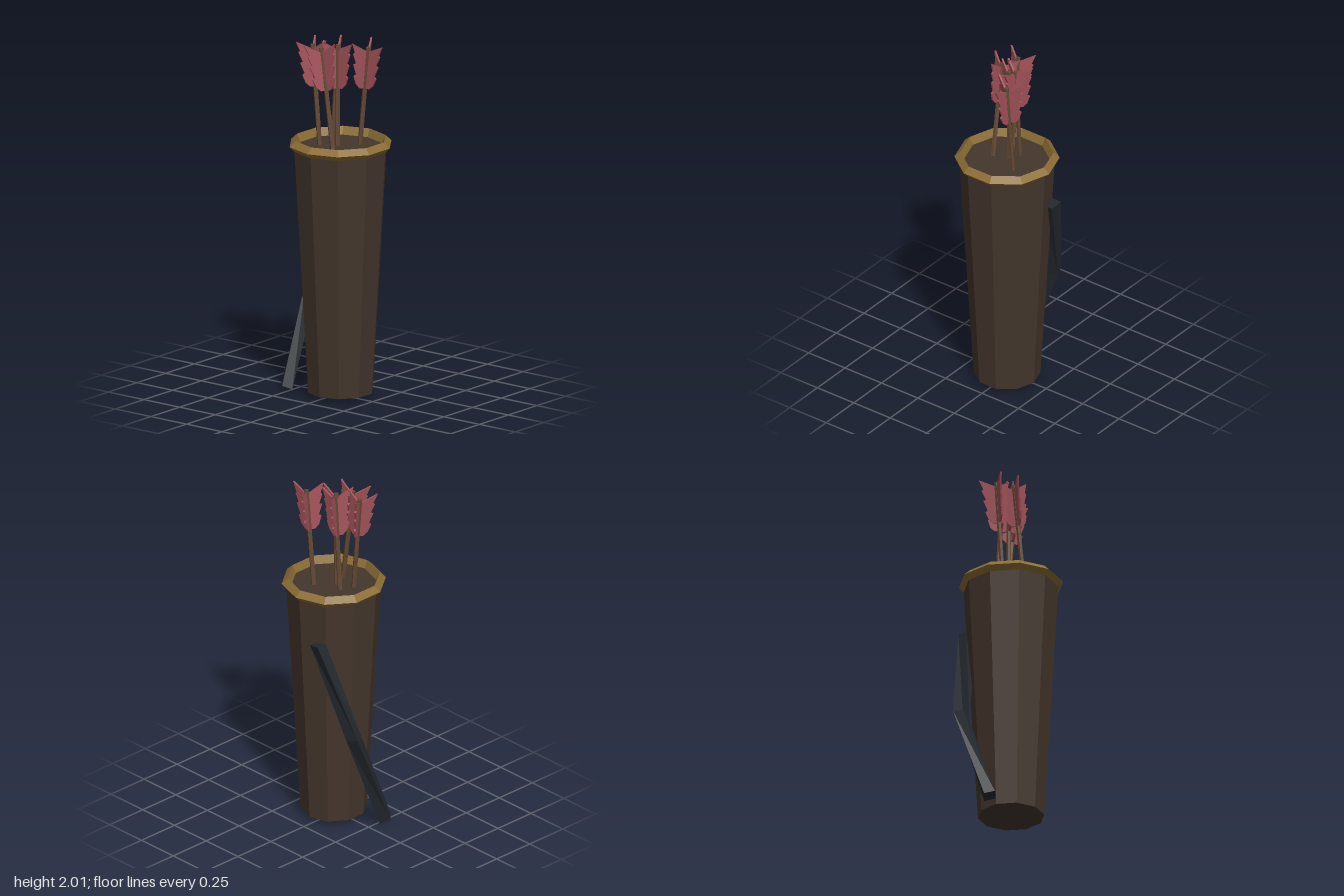
import * as THREE from 'three';

const mat = (color) => new THREE.MeshStandardMaterial({ color, flatShading: true });
const leather = mat(0x44362c);
const brass = mat(0x8c6d34);
const wood = mat(0x664a36);
const feather = mat(0xa3525a);
const strapMat = mat(0x24292e);

const SIDES = 10;
const TURN = Math.PI / SIDES; // puts a corner on the x axis

function addMesh(parent, name, geometry, material) {
  const mesh = new THREE.Mesh(geometry, material);
  mesh.name = name;
  parent.add(mesh);
  return mesh;
}

// Serrated feather: [distance from shaft, height above the feather's base]
const FEATHER = [
  [0, 0], [0.032, 0], [0.056, 0.025], [0.072, 0.07], [0.058, 0.078],
  [0.08, 0.138], [0.064, 0.142], [0.086, 0.198], [0.076, 0.204],
  [0.097, 0.262], [0.012, 0.215], [0, 0.215],
];

function featherGeometry() {
  const shape = new THREE.Shape(FEATHER.map(([r, h]) => new THREE.Vector2(r, h)));
  const geo = new THREE.ExtrudeGeometry(shape, { depth: 0.01, bevelEnabled: false });
  geo.translate(0, 0, -0.005);
  return geo.rotateY(-Math.PI / 2); // blade points along +z
}

// Arrow tilted in z, from its base in the quiver to its nock
function makeArrow(x, zBase, zTop, bladeGeo) {
  const arrow = new THREE.Group();
  arrow.name = 'arrow';
  const yBase = 1.4, yTop = 1.97;
  const length = Math.hypot(yTop - yBase, zTop - zBase);
  const shaftGeo = new THREE.CylinderGeometry(0.013, 0.013, length, 6, 1, false, Math.PI / 6);
  addMesh(arrow, 'arrowShaft', shaftGeo, wood).position.y = length / 2;
  for (let i = 0; i < 3; i++) {
    const blade = addMesh(arrow, 'fletching', bladeGeo, feather);
    blade.position.y = length - 0.235;
    blade.rotation.y = (i * Math.PI * 2) / 3;
  }
  arrow.position.set(x, yBase, zBase);
  arrow.rotation.x = Math.atan2(zTop - zBase, yTop - yBase);
  return arrow;
}

// Four-sided bar skinned through sections whose corners run left, back, right, front
function barGeometry(sections) {
  const index = [];
  for (let s = 0; s < sections.length - 1; s++) {
    for (let i = 0; i < 4; i++) {
      const a = s * 4 + i, b = s * 4 + ((i + 1) % 4);
      index.push(a, a + 4, b + 4, a, b + 4, b);
    }
  }
  const t = (sections.length - 1) * 4;
  index.push(0, 1, 2, 0, 2, 3, t, t + 2, t + 1, t, t + 3, t + 2);
  const geo = new THREE.BufferGeometry();
  geo.setAttribute('position', new THREE.Float32BufferAttribute(sections.flat(2), 3));
  geo.setIndex(index);
  geo.computeVertexNormals();
  return geo;
}

export function createModel() {
  const model = new THREE.Group();
  model.name = 'quiver';

  // Tapered ten-sided body
  const body = addMesh(model, 'quiverBody',
    new THREE.CylinderGeometry(0.262, 0.183, 1.385, SIDES, 1, false, TURN), leather);
  body.position.set(0, 0.025 + 1.385 / 2, 0.025);

  // Faceted rim
  const profile = [[0.25, 1.395], [0.262, 1.395], [0.288, 1.423], [0.254, 1.455], [0.234, 1.41]]
    .map(([r, y]) => new THREE.Vector2(r, y));
  addMesh(model, 'rim', new THREE.LatheGeometry(profile, SIDES, TURN), brass).position.z = 0.025;

  // Carrying strap, bent around the back
  addMesh(model, 'strap', barGeometry([
    [[-0.155, 0.035, -0.26], [-0.115, 0.02, -0.303], [-0.072, 0, -0.26], [-0.12, 0.015, -0.217]],
    [[0.075, 0.59, -0.277], [0.13, 0.6, -0.298], [0.152, 0.58, -0.235], [0.09, 0.57, -0.21]],
    [[0.2, 1.16, -0.12], [0.262, 1.16, -0.118], [0.252, 1.145, -0.05], [0.19, 1.145, -0.05]],
  ]), strapMat);

  // Arrows: x, z at the base, z at the nock
  const bladeGeo = featherGeometry();
  const arrows = [
    [-0.045, -0.085, -0.135],
    [-0.085, 0.04, -0.04],
    [0.028, -0.055, -0.015],
    [0, 0.005, 0.005],
    [0.09, 0.088, 0.147],
  ];
  for (const [x, zBase, zTop] of arrows) model.add(makeArrow(x, zBase, zTop, bladeGeo));

  return model;
}
